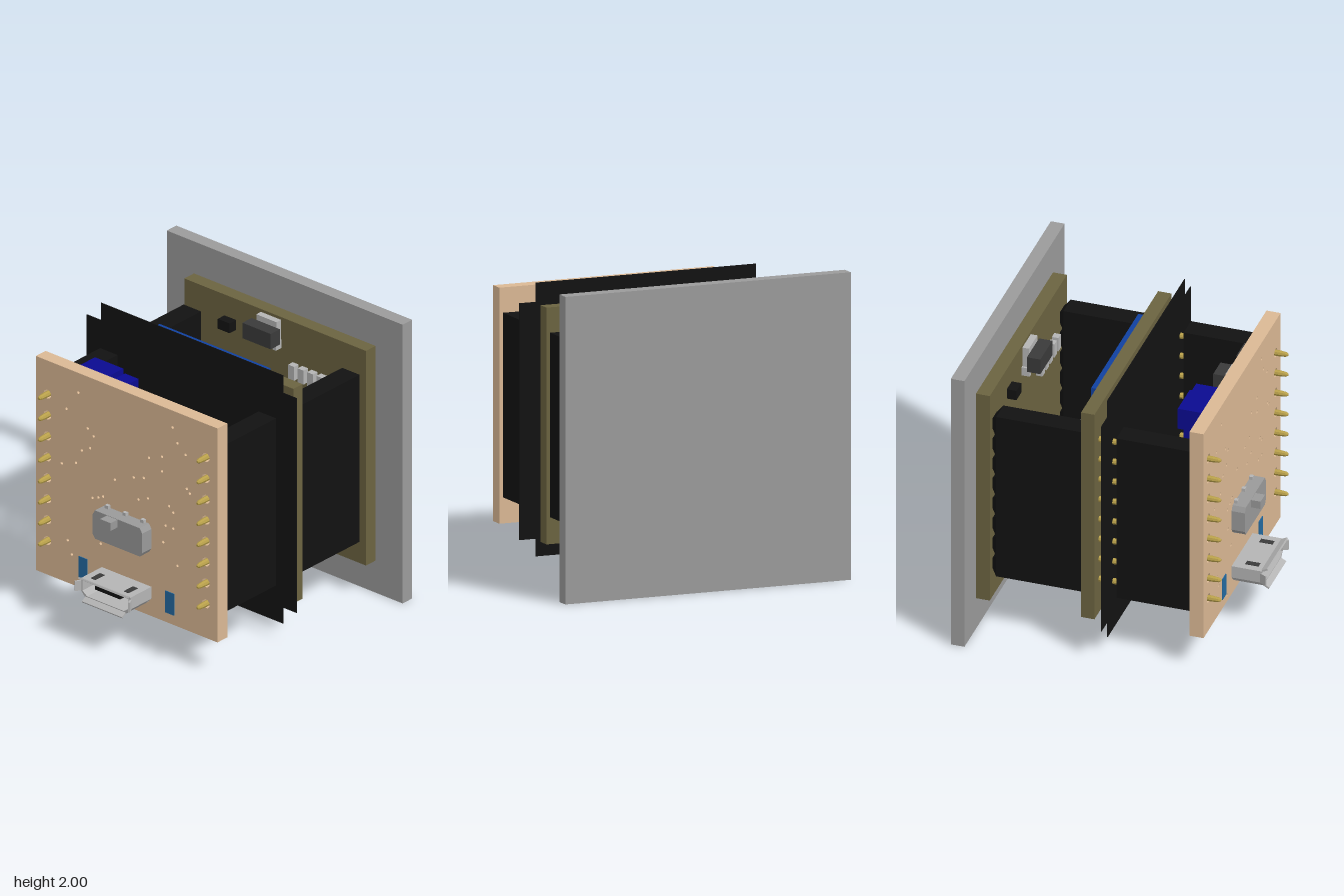
import * as THREE from 'three';

const mat = (color) => new THREE.MeshStandardMaterial({ color, flatShading: true, side: THREE.DoubleSide });
const M = {
  grey: mat(0xcccccc), plate: mat(0x9a9a9a), tan: mat(0xdab894), olive: mat(0x6b6340), black: mat(0x121212),
  dark: mat(0x3a3a3a), gold: mat(0xb8a04a), yellow: mat(0xd4a017), blue: mat(0x0a0a90), pad: mat(0x2369a0),
  module: mat(0x1040a0), metal: mat(0x999999), light: mat(0xb4b4b4),
};

const PIN_X = 0.672;
const PIN_Y = Array.from({ length: 8 }, (_, i) => 0.48 + i * 0.15);
// small drilled holes of the front board: x, y pairs
const VIAS = [
  -.41, 1.63, .39, 1.65, .43, 1.55, -.51, 1.48, .5, 1.49, -.33, 1.4, -.28, 1.36, .3, 1.41, .19, 1.365, .3, 1.305,
  -.31, 1.265, -.38, 1.225, .51, 1.25, .535, 1.225, .145, 1.205, .06, 1.18, -.43, 1.12, -.1, 1.11, -.55, 1.075,
  .18, 1.07, .1, 1.035, .36, 1.075, .395, 1.04, -.2, .955, -.24, .935, -.29, .915, .33, .925, .395, .925,
  -.28, .765, .31, .8, -.22, .61, .43, .67, -.5, .54, -.465, .45, -.3, .28,
];

export function createModel() {
  const root = new THREE.Group();
  const add = (name, geo, m) => {
    const mesh = new THREE.Mesh(geo, m);
    mesh.name = name;
    root.add(mesh);
    return mesh;
  };
  // box from its limits
  const box = (name, m, x0, x1, y0, y1, z0, z1) => {
    const g = new THREE.BoxGeometry(x1 - x0, y1 - y0, z1 - z0);
    g.translate((x0 + x1) / 2, (y0 + y1) / 2, (z0 + z1) / 2);
    return add(name, g, m);
  };
  // outline extruded along z
  const prism = (name, m, points, z0, z1, holes = []) => {
    const s = new THREE.Shape(points.map((p) => new THREE.Vector2(...p)));
    s.holes = holes;
    const g = new THREE.ExtrudeGeometry(s, { depth: z1 - z0, bevelEnabled: false, curveSegments: 6 });
    g.translate(0, 0, z0);
    return add(name, g, m);
  };
  const circle = (x, y, r) => new THREE.Path().absarc(x, y, r, 0, Math.PI * 2, true);

  // back plate and the three boards
  box('backPlate', M.plate, -1, 1, 0, 2, -0.93, -0.838);
  box('rearBoard', M.olive, -0.77, 0.77, 0.23, 1.77, -0.838, -0.745);
  box('middleBoard', M.olive, -0.77, 0.77, 0.23, 1.77, -0.13, -0.04);
  const holes = [];
  for (let i = 0; i < VIAS.length; i += 2) holes.push(circle(VIAS[i], VIAS[i + 1], 0.01));
  for (const s of [-1, 1]) for (const y of PIN_Y) holes.push(circle(s * PIN_X, y, 0.032));
  prism('frontBoard', M.tan, [[-0.77, 0.235], [0.77, 0.235], [0.77, 1.77], [-0.77, 1.77]], 0.6, 0.695, holes);

  // thin cross-shaped insulating sheet
  prism('insulatingSheet', M.black, [
    [-0.78, 0.12], [0.765, 0.12], [0.765, 0.235], [0.88, 0.235], [0.88, 1.775], [0.765, 1.775],
    [0.765, 1.9], [-0.78, 1.9], [-0.78, 1.775], [-0.9, 1.775], [-0.9, 0.235], [-0.78, 0.235]], 0.048, 0.053);

  // header sockets with their pins
  for (const s of [-1, 1]) {
    const x = s * PIN_X;
    box('frontHeader', M.black, x - 0.073, x + 0.073, 0.405, 1.605, 0.1, 0.6);
    box('rearHeader', M.black, x - 0.073, x + 0.073, 0.405, 1.605, -0.71, -0.13);
    for (const y of PIN_Y) {
      const tip = new THREE.CylinderGeometry(0.04 * Math.SQRT2, 0.075 * Math.SQRT2, 0.035, 4, 1);
      tip.rotateY(Math.PI / 4).rotateX(-Math.PI / 2).translate(x, y, -0.7275);
      add('headerTip', tip, M.black);
      const pin = new THREE.LatheGeometry([[0, -0.04], [0.02, -0.04], [0.02, 0.72], [0.016, 0.765], [0.008, 0.78], [0, 0.78]]
        .map((p) => new THREE.Vector2(...p)), 8);
      pin.rotateX(Math.PI / 2).translate(x, y, 0);
      add('pin', pin, M.gold);
    }
    // solder pads and parts beside the socket
    const p = s * 0.367;
    box('bluePad', M.pad, p - 0.037, p + 0.037, 0.305, 0.46, 0.69, 0.7);
    box('lowerChip', M.black, p - 0.035, p + 0.035, 0.325, 0.4, 0.52, 0.6);
    box('socketTab', M.light, s * 0.2 - 0.02, s * 0.2 + 0.02, 0.34, 0.39, 0.56, 0.6);
  }

  // cable socket: shell, flared lips, tongue
  const outline = (k) => [[-0.21 + k, 0.36], [-0.17 + k, 0.318 + k], [0.17 - k, 0.318 + k], [0.21 - k, 0.36],
    [0.21 - k, 0.445 - k], [-0.21 + k, 0.445 - k]];
  const mouth = new THREE.Path(outline(0.014).map((p) => new THREE.Vector2(...p)));
  prism('socketShell', M.light, outline(0), 0.695, 0.9, [mouth]);
  box('socketBack', M.metal, -0.19, 0.19, 0.335, 0.435, 0.695, 0.72);
  box('socketTongue', M.black, -0.105, 0.105, 0.39, 0.415, 0.7, 0.88);
  const lip = (name, w, x, y, rx, ry) => {
    const m = add(name, new THREE.BoxGeometry(rx ? w : 0.012, rx ? 0.012 : w, 0.05), M.light);
    m.position.set(x, y, 0.912);
    m.rotation.set(rx, ry, 0);
  };
  lip('topLip', 0.4, 0, 0.45, -0.5, 0);
  lip('bottomLip', 0.34, 0, 0.313, 0.5, 0);
  for (const s of [-1, 1]) {
    lip('sideLip', 0.07, s * 0.218, 0.395, 0, s * 0.5);
    box('shellSlot', M.dark, s * 0.14 - 0.02, s * 0.14 + 0.02, 0.444, 0.448, 0.77, 0.86);
  }
  for (let i = -2; i <= 2; i++) box('socketPin', M.gold, i * 0.04 - 0.008, i * 0.04 + 0.008, 0.325, 0.342, 0.52, 0.6);

  // slide switch
  prism('switchBody', M.metal, [[-0.21, 0.72], [-0.19, 0.69], [0.19, 0.69], [0.21, 0.72], [0.21, 0.86],
    [0.19, 0.893], [-0.19, 0.893], [-0.21, 0.86]], 0.695, 0.785);
  box('switchLever', M.metal, -0.09, 0, 0.835, 0.89, 0.785, 0.85);
  for (const x of [-0.15, 0, 0.15]) box('switchLeg', M.light, x - 0.014, x + 0.014, 0.67, 0.915, 0.695, 0.72);

  // parts on the rear face of the front board
  box('terminalBlock', M.blue, -0.5, -0.26, 1.6, 1.75, 0.43, 0.59);
  box('terminalBase', M.blue, -0.5, -0.13, 1.45, 1.62, 0.47, 0.6);
  box('terminalEnd', M.blue, -0.245, -0.13, 1.55, 1.72, 0.43, 0.6);
  box('terminalFoot', M.light, -0.38, -0.26, 1.62, 1.68, 0.56, 0.6);
  box('powerChip', M.dark, 0.12, 0.265, 1.45, 1.65, 0.46, 0.54);
  box('powerChipBase', M.light, 0.13, 0.255, 1.45, 1.66, 0.54, 0.6);
  box('capacitor', M.yellow, 0.265, 0.35, 1.3, 1.45, 0.525, 0.6);
  box('smallChip', M.dark, 0.36, 0.52, 1.55, 1.66, 0.535, 0.59);
  box('smallChipLegs', M.light, 0.38, 0.5, 1.53, 1.68, 0.585, 0.6);
  box('coil', M.light, -0.12, 0.08, 1.2, 1.4, 0.5, 0.6);
  box('capacitor', M.yellow, -0.035, 0.035, 1.42, 1.5, 0.525, 0.6);

  // radio module with shield can and antenna on the middle board
  box('moduleBoard', M.module, -0.47, 0.47, 0.44, 1.77, -0.163, -0.13);
  box('shieldCan', M.light, -0.35, 0.35, 0.5, 1.4, -0.295, -0.163);
  for (let i = 0; i < 6; i++) {
    const x = -0.3 + i * 0.1;
    box('antennaBar', M.yellow, x - 0.012, x + 0.012, 1.5, 1.7, -0.166, -0.162);
    const y = i % 2 ? 1.5 : 1.69;
    if (i < 5) box('antennaTurn', M.yellow, x, x + 0.1, y, y + 0.022, -0.166, -0.162);
  }
  for (const s of [-1, 1]) {
    for (let i = 0; i < 14; i++) {
      const y = 0.54 + i * 0.065;
      box('modulePad', M.yellow, s * 0.445 - 0.025, s * 0.445 + 0.025, y, y + 0.035, -0.166, -0.13);
    }
  }

  // small parts on the front face of the middle board
  for (const x of [-0.31, 0.385]) {
    box('capacitor', M.yellow, x - 0.035, x + 0.035, 0.6, 0.75, -0.04, 0.03);
    box('capacitorEnds', M.light, x - 0.06, x + 0.06, 0.62, 0.73, -0.04, 0.01);
  }
  box('chip', M.light, -0.14, 0.03, 1.41, 1.51, -0.04, -0.012);
  box('chip', M.light, 0.51, 0.57, 0.83, 0.95, -0.04, -0.012);
  box('connector', M.light, -0.14, 0.03, 0.36, 0.58, -0.04, 0.025);

  // parts on the front face of the rear board
  box('regulator', M.dark, -0.16, 0.08, 1.6, 1.71, -0.7, -0.61);
  box('regulatorTab', M.light, -0.12, 0.05, 1.61, 1.75, -0.745, -0.7);
  for (const x of [-0.12, -0.04, 0.04]) box('regulatorLeg', M.light, x - 0.015, x + 0.015, 1.55, 1.61, -0.745, -0.69);
  box('smallChip', M.black, -0.43, -0.33, 1.55, 1.62, -0.745, -0.68);
  box('capacitor', M.yellow, -0.41, -0.32, 0.8, 0.9, -0.745, -0.68);
  box('longConnector', M.dark, -0.54, 0.54, 0.42, 0.6, -0.7, -0.635);
  box('longConnectorBase', M.light, -0.52, 0.52, 0.38, 0.6, -0.745, -0.7);
  for (let i = 0; i < 5; i++) box('resistor', M.light, 0.15 + i * 0.08, 0.2 + i * 0.08, 1.38, 1.48, -0.745, -0.7);

  return root;
}
